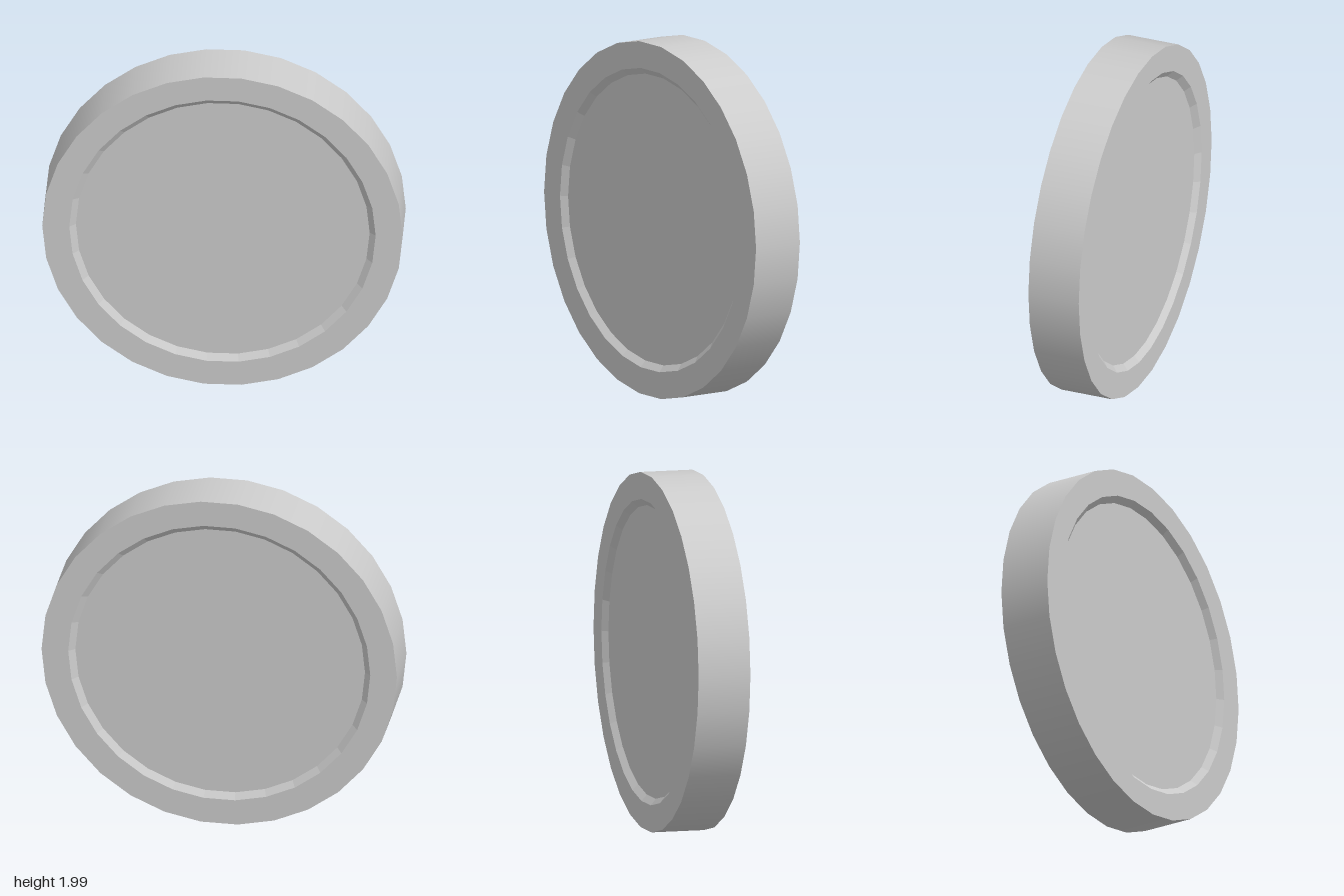
import * as THREE from 'three';

const SIDES = 30;
const HALF = 0.15; // half thickness
const CENTRE_Y = Math.cos(Math.PI / SIDES); // rests on a flat side

// Revolve a [radius, depth] profile about z, with a corner on the x axis
function turned(name, profile, flatShading) {
  const points = profile.map(([r, d]) => new THREE.Vector2(r, d));
  const geometry = new THREE.LatheGeometry(points, SIDES, Math.PI / 2);
  geometry.rotateX(Math.PI / 2);
  const mesh = new THREE.Mesh(geometry, new THREE.MeshStandardMaterial({ color: 0xcccccc, flatShading }));
  mesh.name = name;
  return mesh;
}

export function createModel() {
  const coin = new THREE.Group();
  coin.name = 'coin';

  // Smooth outer edge
  const edge = turned('edge', [[1, -HALF], [1, HALF]], false);

  // Raised rim, sloped step and sunken disc, the same on both sides
  const face = [[1, HALF], [0.85, HALF], [0.815, 0.12], [0, 0.12]];
  const front = turned('frontFace', face, true);
  const back = turned('backFace', face, true);
  back.rotation.y = Math.PI;

  coin.add(edge, front, back);
  coin.position.y = CENTRE_Y;

  const model = new THREE.Group();
  model.add(coin);
  return model;
}
